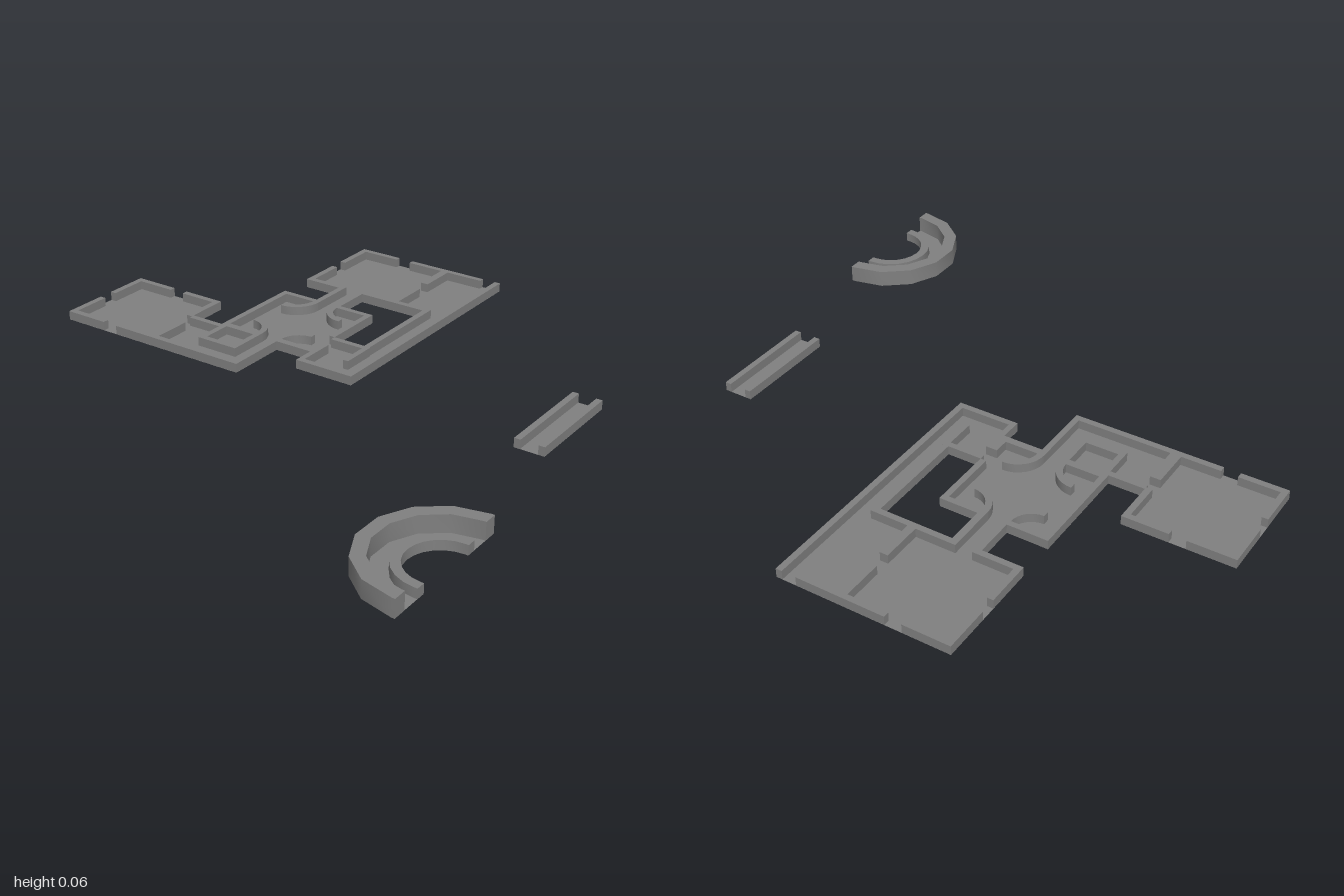
import * as THREE from 'three';
import { toCreasedNormals } from 'three/addons/utils/BufferGeometryUtils.js';

const grey = new THREE.MeshStandardMaterial({ color: 0x808080 });
const thin = new THREE.MeshStandardMaterial({ color: 0x808080, side: THREE.DoubleSide });
const BASE = 0.0135, TOP = 0.0455;

function add(parent, name, geometry, material = grey) {
  const mesh = new THREE.Mesh(geometry, material);
  mesh.name = name;
  parent.add(mesh);
  return mesh;
}

// straight wall given by its footprint
function wall(parent, name, [x0, x1, z0, z1]) {
  const m = add(parent, name, new THREE.BoxGeometry(x1 - x0, TOP - BASE, z1 - z0));
  m.position.set((x0 + x1) / 2, (BASE + TOP) / 2, (z0 + z1) / 2);
}

// thin floor sheet given by its footprint
function floor(parent, name, [x0, x1, z0, z1]) {
  const m = add(parent, name, new THREE.PlaneGeometry(x1 - x0, z1 - z0).rotateX(-Math.PI / 2), thin);
  m.position.set((x0 + x1) / 2, BASE - 0.0003, (z0 + z1) / 2);
}

// ring sector, angles in degrees, 90 pointing to the back; leg adds short straight ends to the front
function sector(r0, r1, a0, a1, segments, leg = 0) {
  const arc = (r) => {
    const points = [];
    for (let i = 0; i <= segments; i++) {
      const a = THREE.MathUtils.degToRad(a0 + ((a1 - a0) * i) / segments);
      points.push(new THREE.Vector2(r * Math.cos(a), r * Math.sin(a)));
    }
    if (leg) {
      points.unshift(new THREE.Vector2(r, -leg));
      points.push(new THREE.Vector2(-r, -leg));
    }
    return points;
  };
  return new THREE.Shape([...arc(r1), ...arc(r0).reverse()]);
}

function curvedWall(parent, name, cx, cz, y0, y1, shape) {
  const geo = new THREE.ExtrudeGeometry(shape, { depth: y1 - y0, bevelEnabled: false }).rotateX(-Math.PI / 2);
  add(parent, name, toCreasedNormals(geo, 0.6)).position.set(cx, y0, cz);
}

export function createModel() {
  const model = new THREE.Group();
  model.name = 'floorPlan';

  const layout = {
    backRoom: {
      floors: [[-0.13, 0.255, -0.976, -0.59]],
      walls: [
        [-0.13, 0.035, -0.976, -0.954], [0.09, 0.255, -0.976, -0.954],
        [-0.13, 0.035, -0.612, -0.59], [0.09, 0.255, -0.612, -0.59],
        [-0.13, -0.107, -0.954, -0.81], [-0.13, -0.107, -0.752, -0.612],
        [0.233, 0.255, -0.954, -0.81], [0.233, 0.255, -0.752, -0.612],
      ],
    },
    bentCorridor: {
      floors: [[-0.13, 0.1, -0.59, -0.462], [-0.13, 0.094, -0.462, -0.217]],
      walls: [
        [-0.13, -0.107, -0.59, -0.217], [-0.107, 0.035, -0.59, -0.574],
        [0.078, 0.1, -0.59, -0.457], [-0.107, 0.094, -0.238, -0.217],
        [-0.035, 0.094, -0.457, -0.436], [-0.035, -0.013, -0.436, -0.297],
        [-0.013, 0.094, -0.318, -0.297],
      ],
    },
    middleRoom: {
      floors: [[0.094, 0.473, -0.462, -0.075]],
      walls: [
        [0.094, 0.473, -0.462, -0.44],
        [0.094, 0.12, -0.44, -0.297], [0.094, 0.12, -0.238, -0.075],
        [0.452, 0.473, -0.44, -0.297], [0.452, 0.473, -0.238, -0.075],
        [0.12, 0.174, -0.096, -0.075], [0.238, 0.452, -0.096, -0.075],
      ],
    },
    linkCorridor: {
      floors: [[0.473, 0.612, -0.318, -0.213]],
      walls: [[0.473, 0.612, -0.318, -0.297], [0.473, 0.612, -0.238, -0.213]],
    },
    rightRooms: {
      floors: [[0.612, 0.997, -0.462, 0.147]],
      walls: [
        [0.612, 0.778, -0.462, -0.44], [0.832, 0.997, -0.462, -0.44],
        [0.612, 0.634, -0.44, -0.297], [0.612, 0.634, -0.238, 0.07],
        [0.634, 0.778, -0.096, -0.067], [0.832, 0.976, -0.096, -0.067],
        [0.976, 0.997, -0.44, -0.297], [0.976, 0.997, -0.238, 0.075],
      ],
    },
    frontRoom: {
      floors: [[0.013, 0.238, -0.075, 0.147]],
      walls: [
        [0.013, 0.035, -0.075, 0.147], [0.035, 0.174, -0.075, -0.055],
        [0.217, 0.238, -0.075, 0.053], [0.104, 0.238, 0.053, 0.073],
      ],
    },
    frontCorridor: {
      floors: [[0.238, 0.612, 0.048, 0.147]],
      walls: [[0.238, 0.612, 0.048, 0.07], [0.035, 0.997, 0.125, 0.147]],
    },
    // separate straight channel
    looseCorridor: {
      floors: [[-0.05, 0.335, 0.787, 0.892]],
      walls: [[-0.05, 0.335, 0.787, 0.809], [-0.05, 0.335, 0.87, 0.892]],
    },
  };

  for (const [name, { floors, walls }] of Object.entries(layout)) {
    const part = new THREE.Group();
    part.name = name;
    part.position.x = 0.003;
    floors.forEach((f) => floor(part, name + 'Floor', f));
    walls.forEach((w) => wall(part, name + 'Wall', w));
    model.add(part);
  }

  // four rounded corner walls of the middle room
  const room = model.getObjectByName('middleRoom');
  for (const [x, z, start] of [[0.12, -0.393, -90], [0.12, -0.142, 0], [0.452, -0.393, 180], [0.452, -0.142, 90]]) {
    curvedWall(room, 'cornerCurve', x, z, BASE, TOP, sector(0.073, 0.096, start, start + 90, 8));
  }

  // separate half-ring channel with a tall outer and a low inner wall
  const arc = new THREE.Group();
  arc.name = 'halfRing';
  arc.position.set(-0.749, 0, 0.966);
  curvedWall(arc, 'outerWall', 0, 0, 0, 0.06, sector(0.205, 0.251, 0, 180, 7, 0.01));
  curvedWall(arc, 'innerWall', 0, 0, 0, 0.033, sector(0.113, 0.144, 0, 180, 12, 0.01));
  const base = new THREE.ShapeGeometry(sector(0.135, 0.21, 0, 180, 7, 0.01)).rotateX(-Math.PI / 2);
  add(arc, 'ringFloor', base, thin).position.y = 0.0005;
  model.add(arc);

  return model;
}
